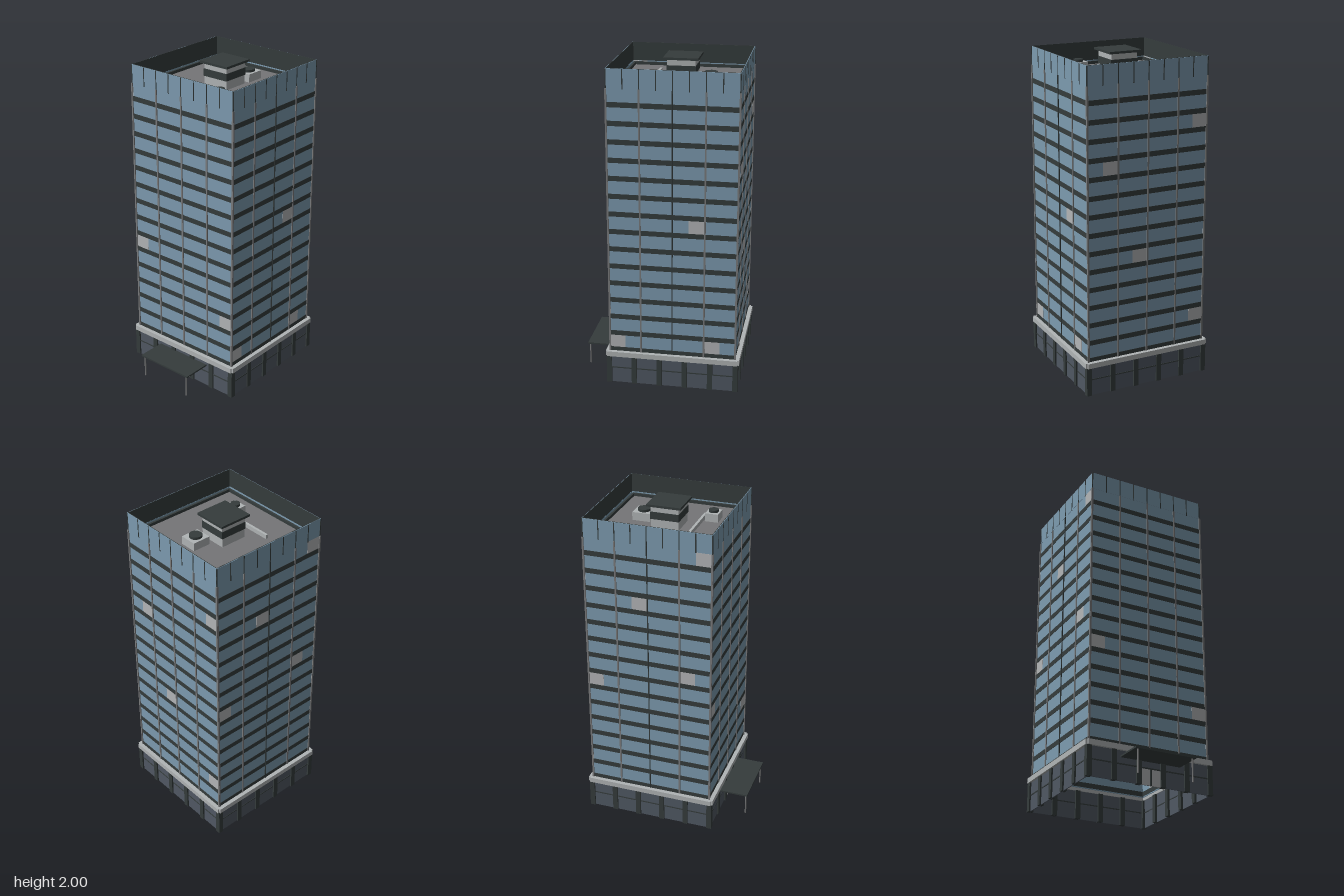
import * as THREE from 'three';

const mat = (name, color) => {
  const m = new THREE.MeshStandardMaterial({ color });
  m.name = name;
  return m;
};

export function createModel() {
  const glass = mat('blue glass', 0x7d9bb0);
  const dark = mat('dark metal', 0x353c3c);
  const stone = mat('pale stone', 0xb0b4b5);
  const roofGrey = mat('roof grey', 0x757577);
  const steel = mat('steel', 0x7a7b7c);
  const lobbyGlass = mat('lobby glass', 0x505863);
  const blind = mat('window blind', 0xb3b5b7);

  const model = new THREE.Group();
  model.name = 'officeTower';
  const body = new THREE.Group();
  body.name = 'building';
  body.position.z = -0.085;
  model.add(body);

  // box given by its size, centre x, bottom y and centre z
  const box = (parent, name, m, w, h, d, x, y, z) => {
    const mesh = new THREE.Mesh(new THREE.BoxGeometry(w, h, d), m);
    mesh.name = name;
    mesh.position.set(x, y + h / 2, z);
    parent.add(mesh);
    return mesh;
  };

  const HALF = 0.389, FLOOR = 0.111, BASE = 0.222, BAY = HALF / 4, TOP = 1.872;

  // lowered blinds on each side: [floor, bay]
  const sides = [
    { name: 'front', angle: 0, blinds: [[5, 0], [2, 7]] },
    { name: 'left', angle: Math.PI / 2, blinds: [[7, 5], [0, 0], [0, 6]] },
    { name: 'back', angle: Math.PI, blinds: [[10, 1], [12, 7], [5, 3], [1, 7]] },
    { name: 'right', angle: -Math.PI / 2, blinds: [[11, 3], [7, 6], [14, 7], [6, 0]] },
  ];

  for (const { name, angle, blinds } of sides) {
    const side = new THREE.Group();
    side.name = name + 'Facade';
    side.rotation.y = angle;
    body.add(side);
    const flank = name === 'left' || name === 'right';

    // curtain wall with a dark band at every floor
    box(side, 'curtainWall', glass, 2 * HALF - 0.004, TOP - 0.2, 0.005, 0, 0.2, 0.385);
    for (let k = 0; k < 15; k++) {
      box(side, 'floorBand', dark, 2 * HALF, 0.031, 0.009, 0, BASE - 0.0155 + k * FLOOR, 0.385);
    }
    for (const [k, i] of blinds) {
      box(side, 'blindPanel', blind, BAY, FLOOR - 0.031, 0.007,
        -HALF + (i + 0.5) * BAY, BASE + 0.0155 + k * FLOOR, 0.385);
    }

    // vertical mullions
    for (let i = -2; i <= 2; i++) {
      const thin = flank && i === 0;
      box(side, 'mullion', thin ? dark : steel, thin ? 0.006 : 0.01, TOP - 0.2, 0.01,
        i * 2 * BAY, 0.2, 0.388);
    }

    // parapet: glass outside, dark lining inside, dark joints
    box(side, 'parapetGlass', glass, 2 * HALF, 1.987 - TOP, 0.003, 0, TOP, 0.3875);
    box(side, 'parapetLining', dark, 2 * HALF - 0.006, 1.988 - TOP, 0.003, 0, TOP, 0.3845);
    for (let i = -4; i <= 4; i++) {
      box(side, 'parapetJoint', dark, 0.006, 0.118, 0.006, i * BAY * 0.997, 1.868, 0.3875);
    }

    // lobby wall with rail and columns
    box(side, 'lobbyWall', lobbyGlass, 0.795, 0.18, 0.006, 0, 0, 0.396);
    box(side, 'lobbyRail', dark, 0.795, 0.007, 0.01, 0, 0.097, 0.397);
    for (let i = 0; i < 6; i++) {
      box(side, 'lobbyColumn', dark, 0.032, 0.18, 0.03, -0.393 + i * 0.1572, 0, 0.394);
    }

    // ledge above the lobby
    box(side, 'ledge', stone, 0.808, 0.032, 0.028, 0, 0.18, 0.401);

    // roof curb
    box(side, 'roofCurb', dark, 0.748, 0.03, 0.013, 0, 1.838, 0.3675);
  }

  // roof deck
  box(body, 'roofDeck', roofGrey, 0.735, 0.02, 0.735, 0, 1.83, 0);

  // penthouse in light and dark layers under a flat cap
  box(body, 'penthouseWall', stone, 0.17, 0.14, 0.17, 0, 1.85, 0);
  box(body, 'penthouseLouvre', dark, 0.176, 0.045, 0.176, 0, 1.905, 0);
  box(body, 'penthouseCap', dark, 0.21, 0.014, 0.21, 0, 1.986, 0);

  // rooftop fan units: x, z, width, depth, fan radius
  const fans = [[0.043, -0.173, 0.106, 0.115, 0.039], [0.154, 0.225, 0.09, 0.08, 0.03]];
  for (const [x, z, w, d, r] of fans) {
    box(body, 'fanHousing', stone, w, 0.05, d, x, 1.85, z);
    const fan = new THREE.Mesh(new THREE.CylinderGeometry(r, r, 0.015, 12), dark);
    fan.name = 'fan';
    fan.position.set(x, 1.9075, z);
    body.add(fan);
  }
  box(body, 'roofDuct', stone, 0.365, 0.025, 0.016, -0.001, 1.85, 0.167);

  // entrance doors
  for (const s of [-1, 1]) {
    box(body, 'door', blind, 0.056, 0.095, 0.008, s * 0.034, 0, 0.399);
  }
  box(body, 'doorFrame', dark, 0.01, 0.097, 0.01, 0, 0, 0.399);

  // canopy on two slim posts
  box(body, 'canopy', dark, 0.388, 0.01, 0.185, 0, 0.14, 0.4875);
  for (const s of [-1, 1]) {
    const post = new THREE.Mesh(new THREE.CylinderGeometry(0.005, 0.005, 0.14, 8), steel);
    post.name = 'canopyPost';
    post.position.set(s * 0.175, 0.07, 0.568);
    body.add(post);
  }

  return model;
}
